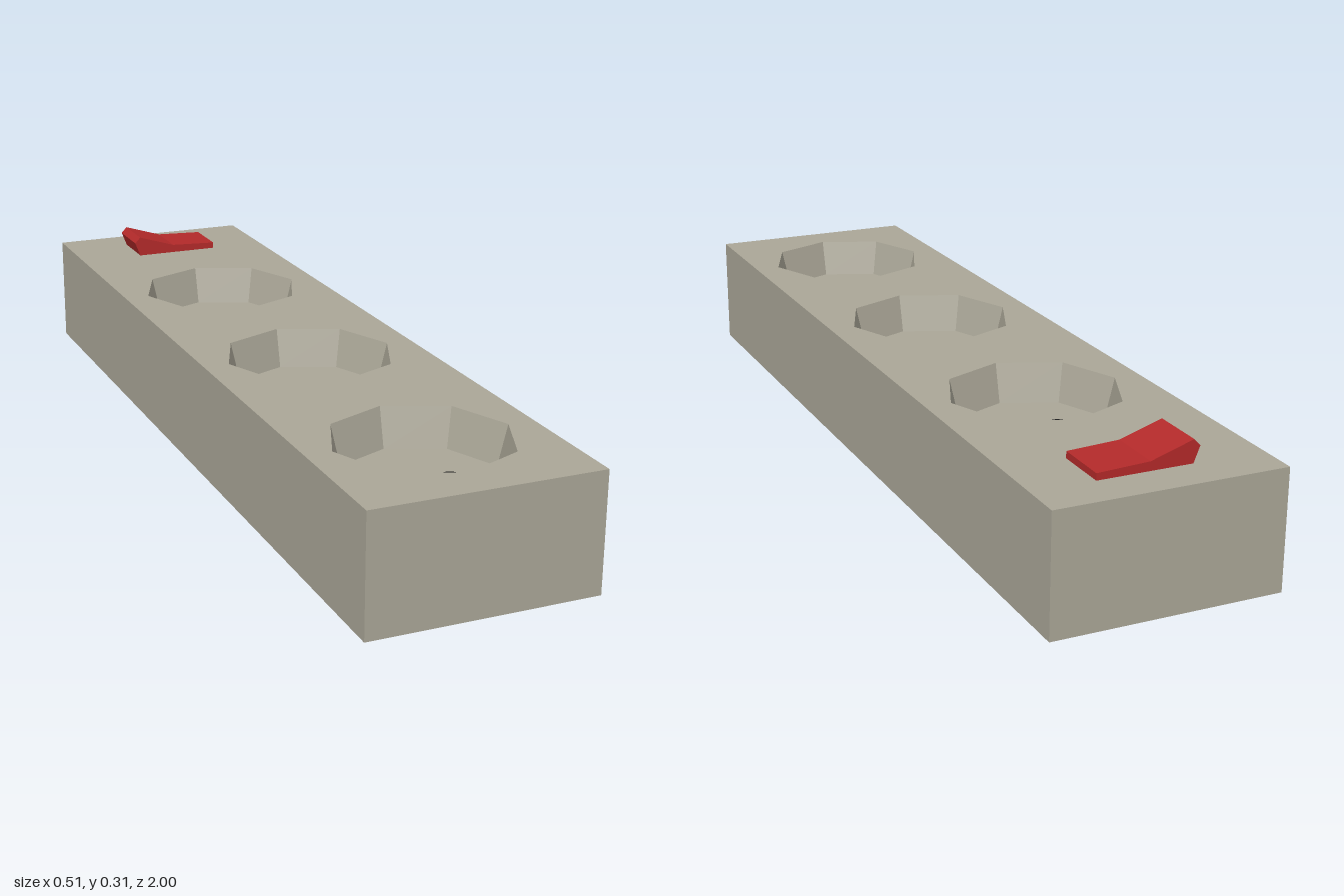
import * as THREE from 'three';

const HALF_W = 0.254, TOP = 0.265, DEPTH = 0.088;
const RIM_R = 0.195, FLOOR_R = 0.173;

export function createModel() {
  const mat = (name, color) => {
    const m = new THREE.MeshStandardMaterial({ color });
    m.name = name;
    return m;
  };
  const beige = mat('beigePlastic', 0xaba798);
  const red = mat('redPlastic', 0xb42a2a);
  const black = mat('blackHole', 0x1c1c1c);

  const model = new THREE.Group();
  model.name = 'powerStrip';
  const add = (parent, name, geometry, material, x = 0, y = 0, z = 0) => {
    const mesh = new THREE.Mesh(geometry, material);
    mesh.name = name;
    mesh.position.set(x, y, z);
    parent.add(mesh);
    return mesh;
  };

  // Housing: a box with its top face left out (the third of six faces)
  const box = new THREE.BoxGeometry(HALF_W * 2, TOP, 2);
  const index = Array.from(box.index.array);
  index.splice(12, 6);
  box.setIndex(index);
  box.clearGroups();
  add(model, 'housing', box, beige, 0, TOP / 2, 0);

  // Sockets: centre z, sideways and lengthwise shift of the pin holes
  const sockets = [
    { z: -0.418, dx: 0.005, dz: 0.002 },
    { z: 0.151, dx: 0.005, dz: 0.003 },
    { z: 0.717, dx: -0.006, dz: 0.017 },
  ];

  // Top plate with an octagonal opening for each socket
  const plate = new THREE.Shape([
    new THREE.Vector2(-HALF_W, -1), new THREE.Vector2(HALF_W, -1),
    new THREE.Vector2(HALF_W, 1), new THREE.Vector2(-HALF_W, 1),
  ]);
  for (const { z } of sockets) {
    const points = [];
    for (let i = 0; i < 8; i++) {
      const a = -i * Math.PI / 4;
      points.push(new THREE.Vector2(RIM_R * Math.cos(a), -z + RIM_R * Math.sin(a)));
    }
    plate.holes.push(new THREE.Path(points));
  }
  add(model, 'topPlate', new THREE.ShapeGeometry(plate).rotateX(-Math.PI / 2), beige, 0, TOP, 0);

  // Tapered socket walls, mirrored so that they face inward
  const wall = new THREE.CylinderGeometry(RIM_R, FLOOR_R, DEPTH, 8, 1, true)
    .scale(-1, 1, 1).toNonIndexed();
  const pos = wall.attributes.position;
  for (let i = 0; i < pos.count; i += 3) {
    const center = new THREE.Vector3(), p = [0, 1, 2].map(k => new THREE.Vector3().fromBufferAttribute(pos, i + k));
    p.forEach(v => center.add(v));
    const n = p[1].clone().sub(p[0]).cross(p[2].clone().sub(p[0]));
    if (n.x * center.x + n.z * center.z > 0) {
      pos.setXYZ(i + 1, p[2].x, p[2].y, p[2].z);
      pos.setXYZ(i + 2, p[1].x, p[1].y, p[1].z);
    }
  }
  wall.computeVertexNormals();
  const floor = new THREE.CircleGeometry(FLOOR_R, 8).rotateX(-Math.PI / 2);
  const pinHole = new THREE.CylinderGeometry(0.021, 0.021, 0.004, 16);

  for (const { z, dx, dz } of sockets) {
    const socket = new THREE.Group();
    socket.name = 'socket';
    socket.position.set(0, TOP, z);
    add(socket, 'socketWall', wall, beige, 0, -DEPTH / 2, 0);
    add(socket, 'socketFloor', floor, beige, 0, -DEPTH, 0);
    for (const side of [-1, 1]) {
      add(socket, 'pinHole', pinHole, black, dx + side * 0.0635, -DEPTH + 0.002, dz);
    }
    model.add(socket);
  }

  // Rocker switch, tipped up on its right end
  const rocker = new THREE.Shape([
    [-0.094, 0.264], [0.116, 0.264], [0.116, 0.28],
    [0, 0.285], [-0.094, 0.315], [-0.108, 0.3],
  ].map(([x, y]) => new THREE.Vector2(x, y)));
  add(model, 'rockerSwitch',
    new THREE.ExtrudeGeometry(rocker, { depth: 0.122, bevelEnabled: false }), red, 0, 0, -0.911);

  return model;
}
